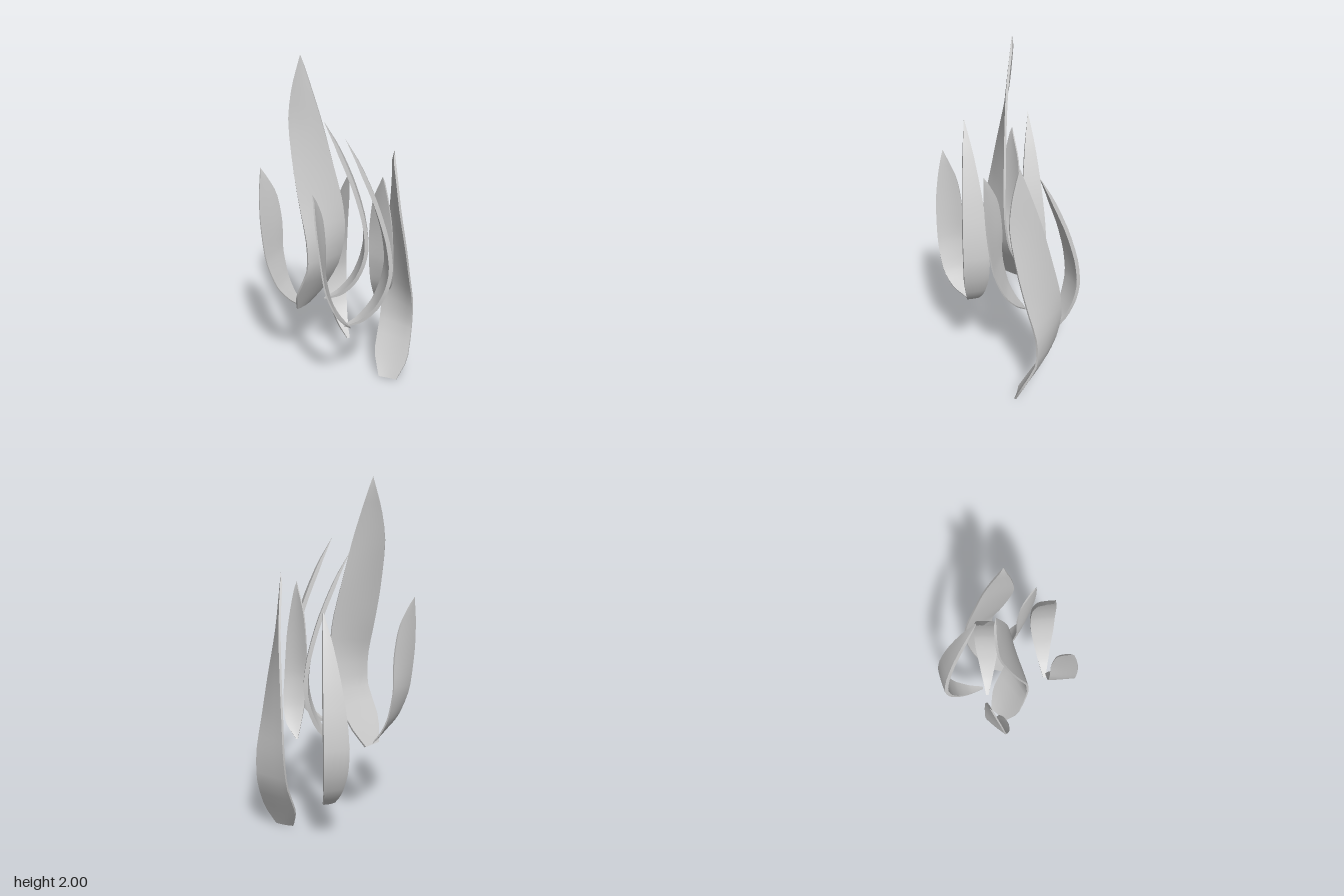
import * as THREE from 'three';

const material = new THREE.MeshStandardMaterial({ color: 0xcccccc, side: THREE.DoubleSide });
const V = (p) => new THREE.Vector3(...p);

// Leaf between two edge curves: outer face, inner face and a thin rim on each side
function leafGeometry(leftPts, rightPts, bulge, thickness, rows = 21, cols = 6) {
  const left = new THREE.CatmullRomCurve3(leftPts.map(V), false, 'catmullrom', 0.4);
  const right = new THREE.CatmullRomCurve3(rightPts.map(V), false, 'catmullrom', 0.4);
  // Point at t along the leaf, s across it and d (0 outer, 1 inner) through it
  const point = (t, s, d) => {
    const a = left.getPoint(t), b = right.getPoint(t);
    const across = b.clone().sub(a), width = across.length();
    const out = left.getTangent(t).add(right.getTangent(t)).cross(across).normalize();
    const offset = bulge * width * Math.sin(Math.PI * s) - d * Math.min(thickness, width * 0.35);
    return a.lerp(b, s).addScaledVector(out, offset);
  };
  const pos = [], idx = [];
  const strip = (n, at) => {
    const start = pos.length / 3;
    for (let i = 0; i <= rows; i++) {
      for (let j = 0; j <= n; j++) pos.push(...at(i / rows, j / n).toArray());
    }
    for (let i = 0; i < rows; i++) {
      for (let j = 0; j < n; j++) {
        const a = start + i * (n + 1) + j, b = a + 1, c = a + n + 1, d = c + 1;
        idx.push(a, c, b, b, c, d);
      }
    }
  };
  strip(cols, (t, u) => point(t, u, 0));
  strip(cols, (t, u) => point(t, 1 - u, 1));
  strip(1, (t, u) => point(t, 0, 1 - u));
  strip(1, (t, u) => point(t, 1, u));
  const g = new THREE.BufferGeometry();
  g.setAttribute('position', new THREE.Float32BufferAttribute(pos, 3));
  g.setIndex(idx);
  g.computeVertexNormals();
  return g;
}

// Broad leaf: flat foot, twisted blade; origin below the tip
function broadLeaf() {
  const left = [
    [-0.05, 0, 0], [-0.1, 0.13, -0.08], [-0.1, 0.32, -0.18], [-0.1, 0.52, -0.22],
    [-0.09, 0.7, -0.21], [-0.065, 0.9, -0.17], [-0.035, 1.14, -0.115], [-0.015, 1.32, -0.06], [0, 1.49, 0],
  ];
  const right = [
    [0.06, 0, 0], [0.11, 0.13, -0.05], [0.11, 0.32, -0.13], [0.11, 0.5, -0.125],
    [0.1, 0.69, -0.07], [0.088, 0.89, -0.017], [0.062, 1.14, 0.036], [0.035, 1.32, 0.031], [0, 1.49, 0],
  ];
  return leafGeometry(left, right, 0.03, 0.012);
}

// Bowed leaf: springs out from a pointed foot and returns above it
function bowedLeaf() {
  const spine = [ // height, reach, half width
    [0, 0, 0.008], [0.04, 0.1, 0.03], [0.13, 0.18, 0.05], [0.25, 0.23, 0.066], [0.38, 0.25, 0.07],
    [0.55, 0.228, 0.066], [0.75, 0.17, 0.05], [0.95, 0.088, 0.027], [1.11, 0, 0],
  ];
  const edge = (side) => spine.map(([y, r, w]) => [side * w, y, -r]);
  return leafGeometry(edge(-1), edge(1), 0.02, 0.022);
}

// Upright leaf: sweeps sideways from its foot, then stands; origin under the upright edge
function uprightLeaf() {
  const outer = [
    [0.135, 0, 0.04], [0.08, 0.07, 0.105], [0.015, 0.16, 0.134], [-0.045, 0.32, 0.137],
    [-0.075, 0.55, 0.125], [-0.085, 0.72, 0.1], [-0.085, 0.86, 0.07],
  ];
  const inner = [
    [0.132, 0, 0.03], [0.075, 0.08, 0.02], [0.03, 0.18, 0.008], [0, 0.34, 0],
    [0, 0.52, 0], [-0.022, 0.7, 0.018], [-0.085, 0.86, 0.07],
  ];
  return leafGeometry(outer, inner, 0.03, 0.008);
}

export function createModel() {
  const model = new THREE.Group();
  model.name = 'leafCluster';
  const broad = broadLeaf(), bowed = bowedLeaf(), upright = uprightLeaf();

  // name, shape, position, turn about y
  const leaves = [
    ['broadLeafBack', broad, [0.29, 0, -0.12], 0],
    ['broadLeafTall', broad, [-0.18, 0.51, 0.03], -1.94],
    ['bowedLeafBack', bowed, [0.026, 0.2, -0.163], 0.69],
    ['bowedLeafMiddle', bowed, [-0.095, 0.51, -0.075], -1.2],
    ['bowedLeafFront', bowed, [0.125, 0.54, 0.21], -1.1],
    ['uprightLeafRight', upright, [-0.32, 0.51, 0.01], 0],
    ['uprightLeafFront', upright, [0.03, 0.535, 0.262], 0.67],
    ['uprightLeafLeft', upright, [0.196, 0.55, 0.002], 1.8],
  ];
  for (const [name, geometry, position, turn] of leaves) {
    const leaf = new THREE.Mesh(geometry, material);
    leaf.name = name;
    leaf.position.set(...position);
    leaf.rotation.y = turn;
    model.add(leaf);
  }
  return model;
}
